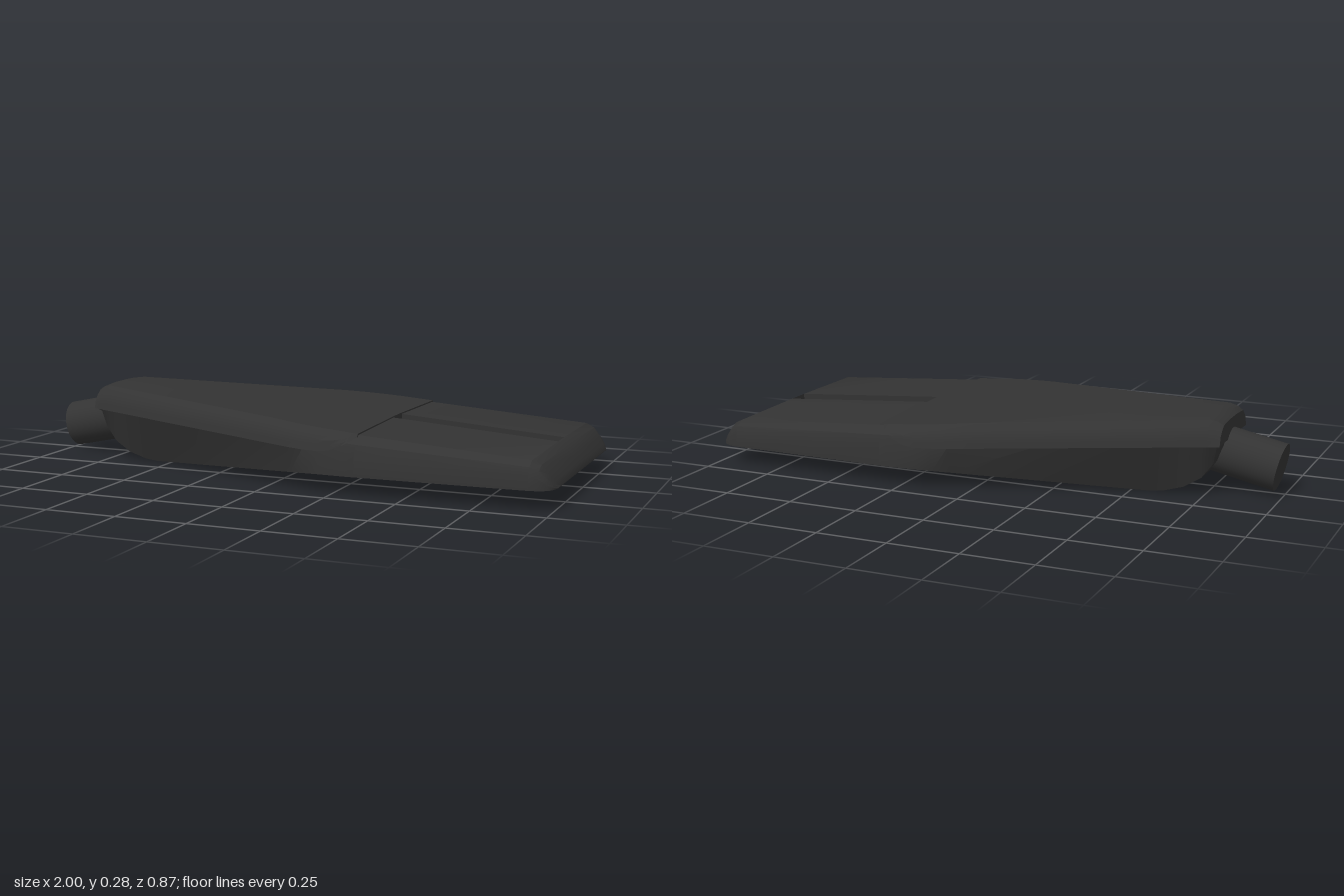
import * as THREE from 'three';
import { toCreasedNormals } from 'three/addons/utils/BufferGeometryUtils.js';

const SLOT = { x0: 0.33, x1: 0.92, z: 0.043 };

// Dimensions along the length, as [x, value] pairs
const WIDTH = [[-0.81, 0.158], [-0.78, 0.165], [0.08, 0.412], [0.14, 0.424], [0.2, 0.432], [0.3, 0.435],
  [0.92, 0.43], [0.95, 0.425], [0.975, 0.412], [0.99, 0.395], [1, 0.36]];
const TOP = [[-0.81, 0.25], [-0.79, 0.264], [-0.76, 0.271], [0, 0.231], [0.33, 0.204], [0.92, 0.16],
  [0.95, 0.146], [0.975, 0.114], [0.99, 0.089], [1, 0.069]];
const SEAM = [[-0.8, 0.185], [0.2, 0.14], [0.33, 0.13], [0.92, 0.115], [0.95, 0.105], [0.975, 0.085], [0.99, 0.075], [1, 0.067]];
const BOTTOM = [[-0.8, 0.17], [-0.78, 0.115], [-0.74, 0.062], [-0.68, 0.025], [-0.61, 0.005], [-0.56, 0],
  [0.2, 0.063], [1, 0.066]];
const BOTTOM_WIDTH = [[-0.8, 0.125], [-0.56, 0.145], [0.2, 0.432], [0.3, 0.437], [0.92, 0.432],
  [0.95, 0.427], [0.975, 0.414], [0.99, 0.397], [1, 0.36]];
const COVER_EDGE = [[-0.81, 0.185], [0.16, 0.142], [0.2, 0.142], [0.24, 0.147], [0.28, 0.162], [0.33, 0.192]];

function at(table, x) {
  if (x <= table[0][0]) return table[0][1];
  for (let i = 1; i < table.length; i++) {
    const [x0, a] = table[i - 1], [x1, b] = table[i];
    if (x <= x1) return a + (b - a) * (x - x0) / (x1 - x0);
  }
  return table[table.length - 1][1];
}

// Upper side profile: edge of the top, shoulder, seam; as [y, z] from low to high
function sideProfile(x) {
  const w = at(WIDTH, x), top = at(TOP, x), seam = at(SEAM, x);
  return [[seam, w], [top - 0.45 * (top - seam), w - 0.012], [top - 0.08 * (top - seam), w - 0.045]];
}

// Half section of the housing as [z, y], from the top middle round to the bottom middle
function housingHalf(x) {
  const [seam, shoulder, edge] = sideProfile(x);
  const yb = at(BOTTOM, x);
  return [[SLOT.z, at(TOP, x)], [edge[1], edge[0]], [shoulder[1], shoulder[0]], [seam[1], seam[0]],
    [at(BOTTOM_WIDTH, x), yb], [SLOT.z, yb]];
}

// Half section of the cover, a slightly larger shell ending at its curved lower edge
function coverHalf(x) {
  const gap = 0.005, side = sideProfile(x), yHigh = side[2][0], yLow = at(COVER_EDGE, x);
  const ring = [[SLOT.z, at(TOP, x) + gap]];
  for (let i = 0; i <= 4; i++) {
    const y = yHigh + (yLow - yHigh) * i / 4;
    ring.push([at(side, y) + gap, y + gap * (1 - i / 4)]);
  }
  ring.push([at(side, yLow) - 0.02, yLow + 0.002]);
  return ring;
}

const mirrored = (half) => half.map(([z, y]) => [-z, y]).reverse();
const whole = (half) => [...half, ...mirrored(half)];

// Skin closed rings placed at the given x stations, with both ends capped
function loft(stations, section) {
  const rings = stations.map((x) => section(x).map(([z, y]) => new THREE.Vector3(x, y, z)));
  const pos = [];
  const tri = (...pts) => pts.forEach((p) => pos.push(p.x, p.y, p.z));
  const n = rings[0].length;
  for (let s = 0; s < rings.length - 1; s++) {
    const a = rings[s], b = rings[s + 1];
    for (let i = 0; i < n; i++) {
      const j = (i + 1) % n;
      tri(a[i], a[j], b[i]);
      tri(a[j], b[j], b[i]);
    }
  }
  const cap = (ring, flip) => {
    const c = ring.reduce((sum, p) => sum.add(p), new THREE.Vector3()).divideScalar(n);
    ring.forEach((p, i) => {
      const q = ring[(i + 1) % n];
      if (flip) tri(c, q, p); else tri(c, p, q);
    });
  };
  cap(rings[0], true);
  cap(rings[rings.length - 1], false);
  const geo = new THREE.BufferGeometry();
  geo.setAttribute('position', new THREE.Float32BufferAttribute(pos, 3));
  return toCreasedNormals(geo, 0.5);
}

function roundedPlate(x0, x1, z0, z1, r, depth) {
  const s = new THREE.Shape();
  s.moveTo(x0 + r, z0);
  s.lineTo(x1 - r, z0);
  s.absarc(x1 - r, z0 + r, r, -Math.PI / 2, 0);
  s.absarc(x1 - r, z1 - r, r, 0, Math.PI / 2);
  s.absarc(x0 + r, z1 - r, r, Math.PI / 2, Math.PI);
  s.absarc(x0 + r, z0 + r, r, Math.PI, Math.PI * 1.5);
  return new THREE.ExtrudeGeometry(s, { depth, bevelEnabled: false, curveSegments: 8 }).rotateX(Math.PI / 2);
}

export function createModel() {
  const model = new THREE.Group();
  model.name = 'streetLamp';
  const darkMetal = new THREE.MeshStandardMaterial({ color: 0x333333 });
  darkMetal.name = 'dark metal';
  const lensGrey = new THREE.MeshStandardMaterial({ color: 0xb0b0b0 });
  lensGrey.name = 'lens grey';
  const add = (name, geo, mat) => {
    const mesh = new THREE.Mesh(geo, mat);
    mesh.name = name;
    model.add(mesh);
    return mesh;
  };

  // Housing: rear body, two arms beside the slot, and the tip
  const rear = [-0.8, -0.78, -0.76, -0.74, -0.71, -0.68, -0.645, -0.61, -0.56, -0.2, 0.08, 0.14, 0.2, 0.3, SLOT.x0];
  add('rearHousing', loft(rear, (x) => whole(housingHalf(x))), darkMetal);
  const arm = [SLOT.x0, 0.6, SLOT.x1];
  add('leftArm', loft(arm, housingHalf), darkMetal);
  add('rightArm', loft(arm, (x) => mirrored(housingHalf(x))), darkMetal);
  add('tip', loft([SLOT.x1, 0.95, 0.975, 0.99, 1], (x) => whole(housingHalf(x))), darkMetal);

  // Cover over the rear body
  const coverStations = [-0.81, -0.79, -0.76, -0.4, 0, 0.08, 0.14, 0.2, 0.24, 0.28, 0.3, SLOT.x0];
  add('cover', loft(coverStations, (x) => whole(coverHalf(x))), darkMetal);

  // Tilted mounting pipe
  const tilt = 0.21, length = 0.32;
  const pipe = add('mountingPipe', new THREE.CylinderGeometry(0.084, 0.084, length, 40), darkMetal);
  pipe.rotation.z = tilt - Math.PI / 2;
  pipe.position.set(-0.983 + Math.cos(tilt) * length / 2, 0.093 + Math.sin(tilt) * length / 2, 0);

  // Lenses under the two arms
  [['leftLens', 0.075, 0.405], ['rightLens', -0.405, -0.075]].forEach(([name, z0, z1]) => {
    add(name, roundedPlate(0.26, 0.95, z0, z1, 0.06, 0.006), lensGrey).position.y = 0.067;
  });
  return model;
}
